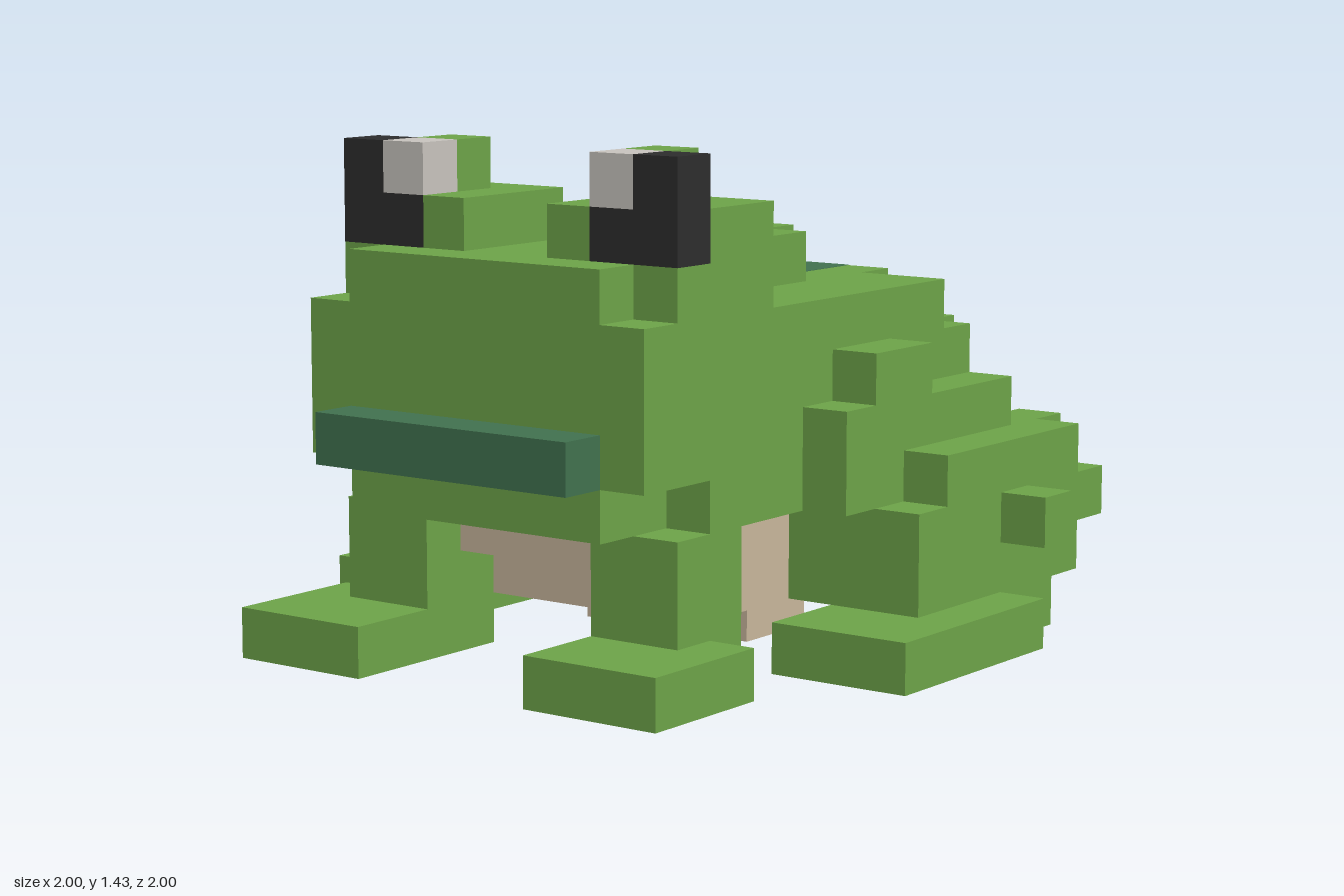
import * as THREE from 'three';

const U = 1 / 7; // one block

const mat = (name, color) => {
  const m = new THREE.MeshStandardMaterial({ color });
  m.name = name;
  return m;
};

export function createModel() {
  const skin = mat('leafGreen', 0x6ea449);
  const patch = mat('darkGreen', 0x41724f);
  const cream = mat('bellyCream', 0xc9b79c);
  const black = mat('eyeBlack', 0x2d2d2d);
  const white = mat('eyeWhite', 0xc9c5bf);

  const frog = new THREE.Group();
  frog.name = 'frog';

  const part = (name) => {
    const g = new THREE.Group();
    g.name = name;
    frog.add(g);
    return g;
  };

  // Box between block coordinates; grow lifts painted blocks off their neighbours
  const box = (parent, name, m, [x0, x1], [y0, y1], [z0, z1], grow = 0) => {
    const geo = new THREE.BoxGeometry((x1 - x0 + grow) * U, (y1 - y0 + grow) * U, (z1 - z0 + grow) * U);
    const mesh = new THREE.Mesh(geo, m);
    mesh.position.set((x0 + x1) / 2 * U, (y0 + y1) / 2 * U, (z0 + z1) / 2 * U);
    mesh.name = name;
    parent.add(mesh);
  };

  // Head with rounded-off corners
  const head = part('head');
  box(head, 'skull', skin, [-4, 4], [4, 7], [2, 6]);
  box(head, 'crown', skin, [-4, 4], [7, 8], [2, 5]);
  box(head, 'brow', skin, [-3, 3], [7, 8], [5, 6]);
  box(head, 'chin', skin, [-3, 3], [3, 4], [4, 6]);
  box(head, 'mouth', patch, [-3, 3], [4, 5], [6, 7]);

  // Body stepping down to the rump
  const body = part('body');
  box(body, 'torso', skin, [-4, 4], [3, 6], [-5, 4]);
  box(body, 'rump', skin, [-3, 3], [3, 6], [-6, -5]);
  box(body, 'back', skin, [-4, 4], [6, 7], [-4, 2]);
  box(body, 'lowerBack', skin, [-2, 2], [6, 7], [-5, -4]);
  box(body, 'neckRidge', skin, [-3, 3], [7, 8], [1, 2]);
  box(body, 'spineNarrow', skin, [-1, 1], [7, 8], [-3, 1]);
  box(body, 'spineWide', skin, [-2, 2], [7, 8], [-2, 0]);

  // Dark patches on the back
  const patches = part('backPatches');
  box(patches, 'rearPatch', patch, [0, 1], [6, 7], [-5, -3], 0.02);
  box(patches, 'spinePatch', patch, [-1, 0], [7, 8], [-3, -2], 0.02);
  box(patches, 'middlePatch', patch, [-3, -1], [6, 7], [-3, -2], 0.02);
  box(patches, 'sidePatch', patch, [-4, -2], [6, 7], [-2, -1], 0.02);

  // Belly layers
  const belly = part('belly');
  box(belly, 'bellyUpper', cream, [-3, 3], [2, 3], [-6, 4]);
  box(belly, 'bellyMiddle', cream, [-3, 3], [1, 2], [-5, 2]);
  box(belly, 'bellyFront', cream, [-2, 2], [1, 2], [2, 3]);
  box(belly, 'bellyPad', cream, [-2, 2], [0, 1], [-2, 0]);
  box(belly, 'bellyPadLong', cream, [-1, 1], [0, 1], [-3, 1]);

  // Paired parts, mirrored across x
  for (const [side, s] of [['left', 1], ['right', -1]]) {
    const pair = (parent, name, m, [a, b], y, z) =>
      box(parent, name, m, s > 0 ? [a, b] : [-b, -a], y, z);

    const eye = part(side + 'Eye');
    pair(eye, 'eyeMound', skin, [1, 4], [8, 9], [2, 4]);
    pair(eye, 'eyeMoundFront', skin, [1, 2], [8, 9], [4, 5]);
    pair(eye, 'eyeBack', skin, [2, 3], [9, 10], [3, 4]);
    pair(eye, 'pupilOuter', black, [3, 4], [8, 10], [4, 5]);
    pair(eye, 'pupilLower', black, [2, 3], [8, 9], [4, 5]);
    pair(eye, 'eyeGlint', white, [2, 3], [9, 10], [4, 5]);

    const front = part(side + 'FrontLeg');
    pair(front, 'frontLeg', skin, [2, 4], [1, 3], [3, 5]);
    pair(front, 'frontHeel', skin, [2, 4], [0, 1], [3, 4]);
    pair(front, 'frontFoot', skin, [2, 5], [0, 1], [4, 7]);

    const rear = part(side + 'RearLeg');
    pair(rear, 'hip', skin, [4, 5], [3, 5], [-5, 1]);
    pair(rear, 'hipTop', skin, [4, 5], [5, 6], [-2, 0]);
    pair(rear, 'thigh', skin, [3, 6], [1, 3], [-6, 0]);
    pair(rear, 'thighTop', skin, [3, 6], [3, 4], [-6, -1]);
    pair(rear, 'knee', skin, [6, 7], [2, 3], [-4, -3]);
    pair(rear, 'haunchInner', skin, [3, 4], [2, 3], [-7, -6]);
    pair(rear, 'haunchMiddle', skin, [4, 5], [1, 4], [-7, -6]);
    pair(rear, 'haunchOuter', skin, [5, 6], [2, 3], [-7, -6]);
    pair(rear, 'rearFoot', skin, [4, 7], [0, 1], [-3, 2]);
    pair(rear, 'rearHeel', skin, [4, 6], [0, 1], [-5, -3]);
  }

  return frog;
}
